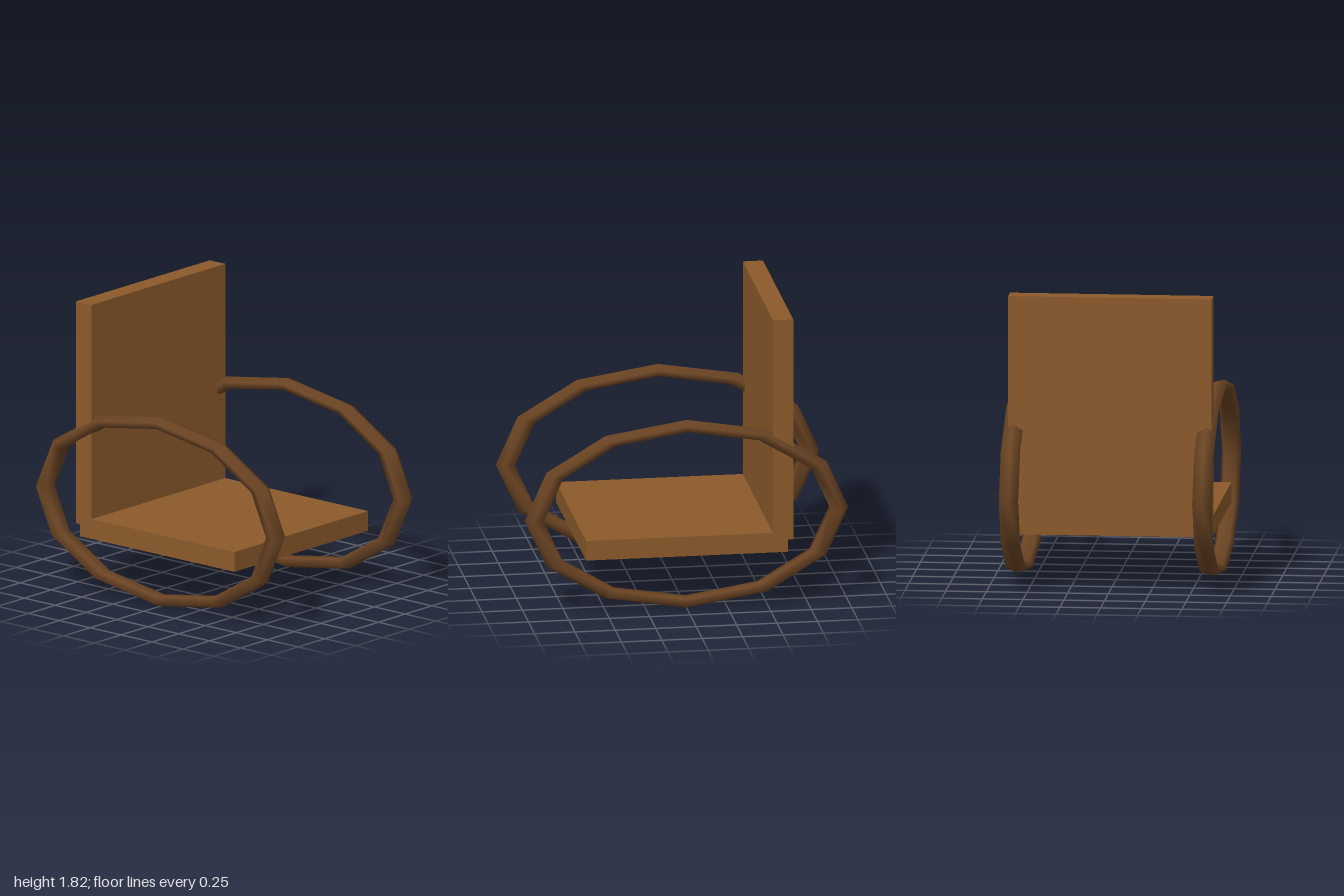
import * as THREE from 'three';

const PANEL = 0.125; // thickness of the seat and back boards
const WIDTH = 1.25;

export function createModel() {
  const chair = new THREE.Group();
  chair.name = 'armchair';
  const board = new THREE.MeshStandardMaterial({ color: 0x8b5a2b });
  const darkWood = new THREE.MeshStandardMaterial({ color: 0x6b4423 });

  const add = (name, geometry, material, x, y, z) => {
    const mesh = new THREE.Mesh(geometry, material);
    mesh.name = name;
    mesh.position.set(x, y, z);
    chair.add(mesh);
    return mesh;
  };

  // Seat and upright back
  add('seat', new THREE.BoxGeometry(WIDTH, PANEL, 1.25), board, 0, 0.4, 0);
  add('backrest', new THREE.BoxGeometry(WIDTH, 1.406, PANEL), board, 0, 1.119, -0.594);

  // Oval hoops serving as both arms and legs: five-sided rod, twelve segments
  const hoop = new THREE.TorusGeometry(0.9375, 0.0625, 5, 12);
  hoop.scale(1, 0.6, 1).rotateY(Math.PI / 2);
  for (const [name, side] of [['leftArmHoop', 1], ['rightArmHoop', -1]]) {
    add(name, hoop, darkWood, side * 0.594, 0.6, 0);
  }
  return chair;
}
